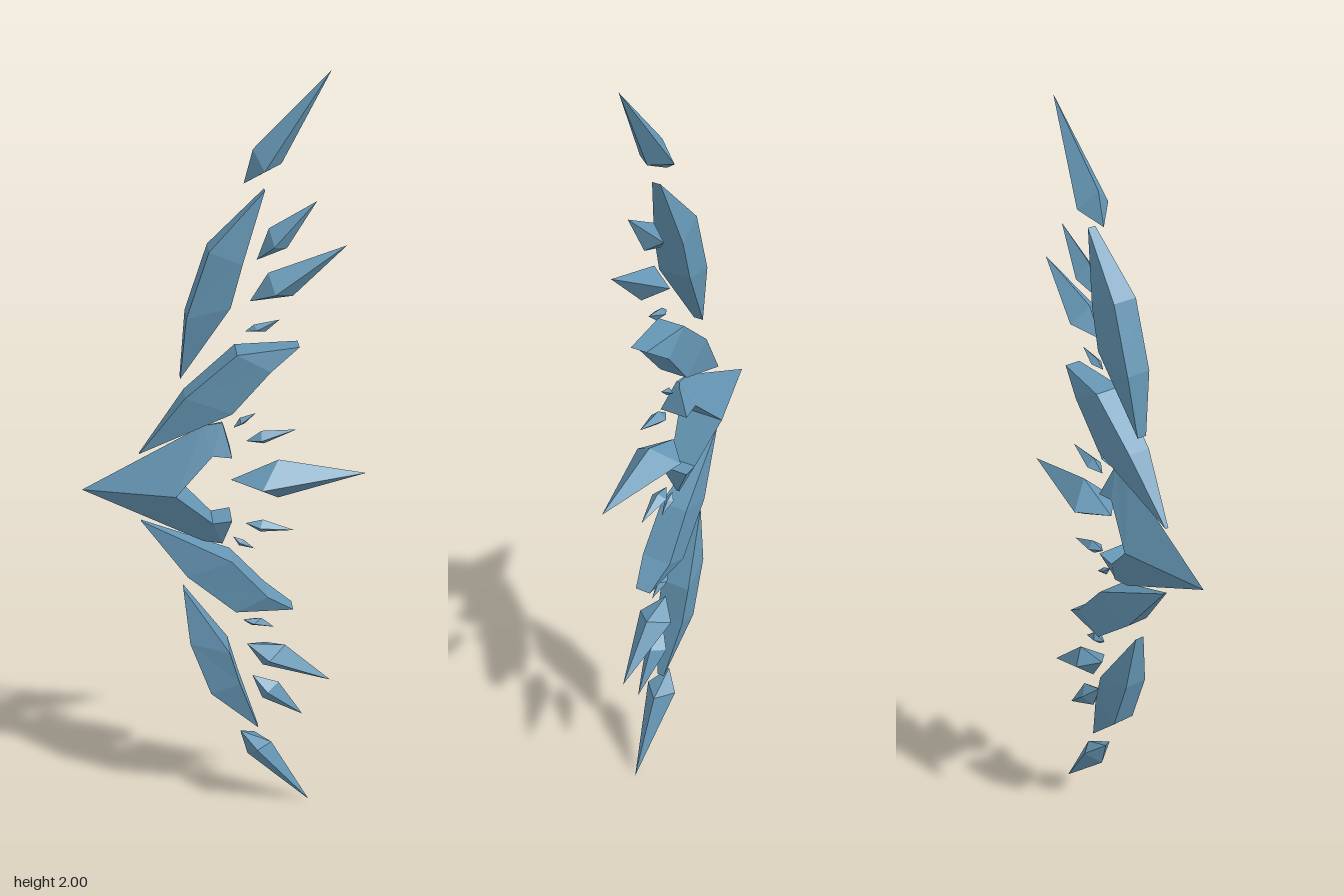
import * as THREE from 'three';

const crystal = new THREE.MeshStandardMaterial({ color: 0x6596b4 });
crystal.name = 'steel blue crystal';

// Flat-shaded mesh from triangles; flip mirrors it across y = 1
function facetedMesh(name, tris, flip) {
  const pos = [];
  for (const t of tris) {
    const corners = flip ? [t[0], t[2], t[1]] : t;
    for (const [x, y, z] of corners) pos.push(x, flip ? 2 - y : y, z);
  }
  const geo = new THREE.BufferGeometry();
  geo.setAttribute('position', new THREE.Float32BufferAttribute(pos, 3));
  geo.computeVertexNormals();
  const mesh = new THREE.Mesh(geo, crystal);
  mesh.name = name;
  return mesh;
}

// Diamond shard: outline butt, upper corner, tip, lower corner; ridge apex on both sides
function shard(name, outline, apex, h, flip = false) {
  const ring = outline.map(([x, y]) => [x, y, 0]);
  const tris = [];
  ring.forEach((a, i) => {
    const b = ring[(i + 1) % 4];
    tris.push([b, a, [...apex, h]], [a, b, [...apex, -h]]);
  });
  return facetedMesh(name, tris, flip);
}

// Lofted blade: each section is [outerX, outerY, outerHalfDepth, innerX, innerY, innerHalfDepth]
function blade(name, sections, flip) {
  const rings = sections.map(([ox, oy, oh, ix, iy, ih]) => [
    [ox, oy, oh], [ix, iy, ih], [ix, iy, -ih], [ox, oy, -oh],
  ]);
  const tris = [];
  for (let s = 0; s < rings.length - 1; s++) {
    for (let k = 0; k < 4; k++) {
      const n = (k + 1) % 4;
      const a = rings[s][k], b = rings[s][n], c = rings[s + 1][n], d = rings[s + 1][k];
      tris.push([a, b, c], [a, c, d]);
    }
  }
  const [a, b, c, d] = rings[rings.length - 1];
  tris.push([a, b, c], [a, c, d]);
  return facetedMesh(name, tris, flip);
}

const headArm = [
  [-0.35, 1.0, 0, -0.35, 1.0, 0],
  [-0.055, 1.16, 0, -0.125, 1.0, 0.06],
  [-0.008, 1.167, 0.004, -0.034, 1.093, 0.034],
  [-0.004, 1.155, 0.006, 0.013, 1.087, 0.036],
];
const innerBlade = [
  [-0.209, 1.093, 0.004, -0.209, 1.093, 0.004],
  [-0.098, 1.246, 0.028, 0.013, 1.204, 0.036],
  [0.024, 1.354, 0.034, 0.103, 1.31, 0.039],
  [0.172, 1.363, 0.02, 0.172, 1.363, 0.02],
];
const outerBlade = [
  [-0.108, 1.29, 0.012, -0.108, 1.29, 0.012],
  [-0.093, 1.447, 0.03, 0.008, 1.474, 0.04],
  [-0.04, 1.606, 0.03, 0.035, 1.575, 0.037],
  [0.087, 1.738, 0.01, 0.087, 1.738, 0.01],
];

// Floating shards: outline, apex, half depth
const shards = [
  ['tipShard', [[0.04, 1.753], [0.06, 1.83], [0.23, 2.0], [0.124, 1.796]], [0.082, 1.79], 0.042],
  ['smallFeather', [[0.071, 1.574], [0.098, 1.648], [0.206, 1.708], [0.14, 1.6]], [0.108, 1.612], 0.03],
  ['longFeather', [[0.056, 1.474], [0.098, 1.542], [0.278, 1.602], [0.156, 1.484]], [0.11, 1.503], 0.046],
  ['chip', [[0.045, 1.399], [0.066, 1.416], [0.126, 1.426], [0.093, 1.397]], [0.073, 1.406], 0.014],
  ['innerChip', [[0.019, 1.151], [0.034, 1.177], [0.073, 1.188], [0.045, 1.161]], [0.036, 1.165], 0.012],
  ['innerFeather', [[0.05, 1.114], [0.087, 1.14], [0.172, 1.14], [0.093, 1.106]], [0.085, 1.121], 0.02],
];

export function createModel() {
  const model = new THREE.Group();
  model.name = 'crystalBow';

  // Upper and lower limbs
  for (const flip of [false, true]) {
    const limb = new THREE.Group();
    limb.name = flip ? 'lowerLimb' : 'upperLimb';
    limb.add(blade('arrowheadArm', headArm, flip));
    limb.add(blade('innerBlade', innerBlade, flip));
    limb.add(blade('outerBlade', outerBlade, flip));
    for (const [name, outline, apex, h] of shards) limb.add(shard(name, outline, apex, h, flip));
    model.add(limb);
  }

  // Single shard behind the arrowhead
  model.add(shard('centreShard',
    [[0.013, 1.01], [0.13, 1.06], [0.347, 1.013], [0.13, 0.955]], [0.085, 1.006], 0.06));
  return model;
}
